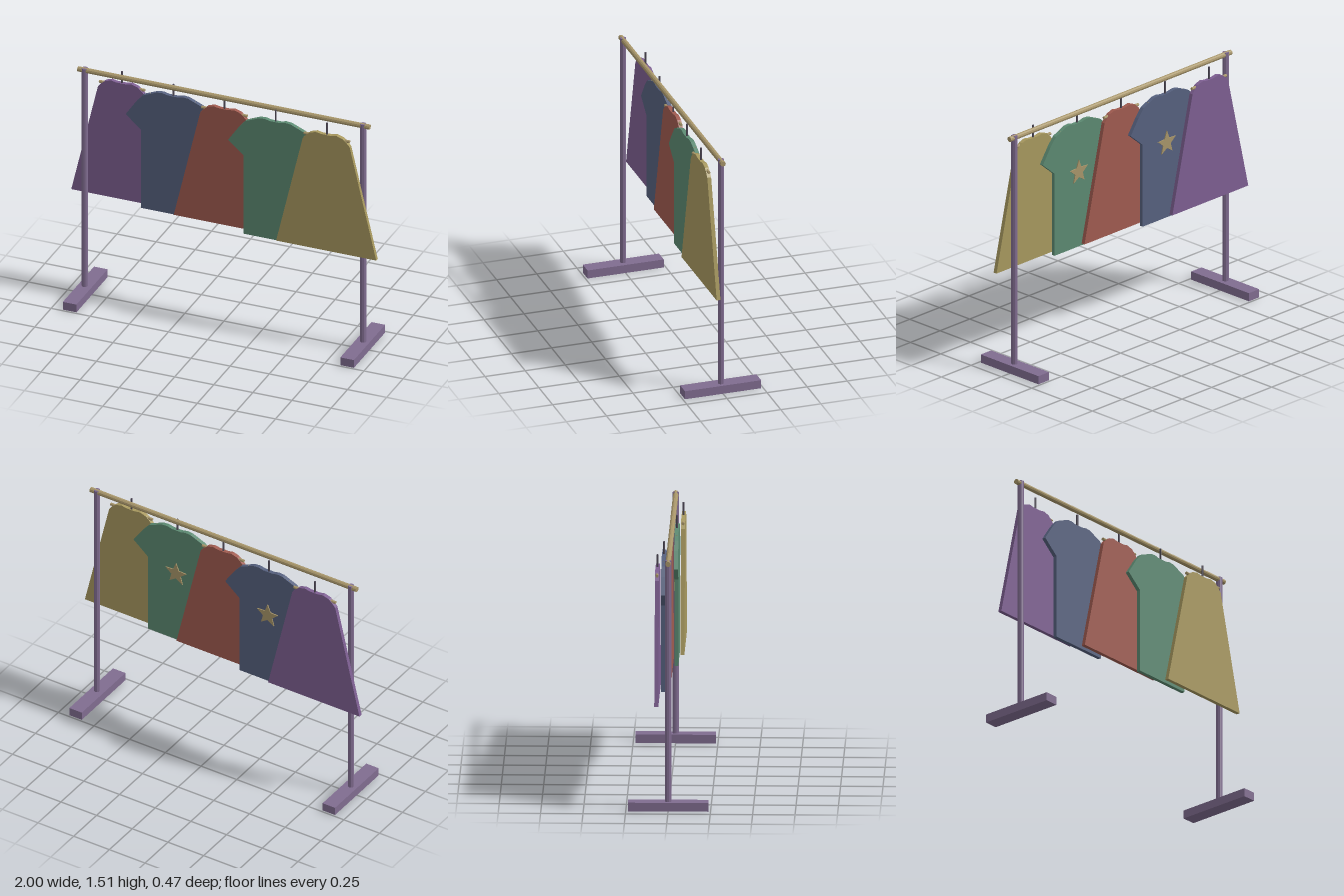
import * as THREE from 'three';

const mat = (color) => new THREE.MeshStandardMaterial({ color, flatShading: true });
const frameMat = mat(0x806c90);
const woodMat = mat(0xa8966a);
const hookMat = mat(0x504a58);

// Right half of each outline, from hem to neck, as [x, y]
const DRESS = [[0.32, 0.647], [0.15, 1.37], [0.128, 1.395], [0.105, 1.415], [0.065, 1.428], [0.03, 1.421]];
const SHIRT = [[0.2, 0.632], [0.2, 1.155], [0.3, 1.24], [0.235, 1.335], [0.19, 1.388], [0.1, 1.426], [0.065, 1.429], [0.03, 1.421]];

function add(parent, name, geometry, material, x = 0, y = 0, z = 0) {
  const mesh = new THREE.Mesh(geometry, material);
  mesh.name = name;
  mesh.position.set(x, y, z);
  parent.add(mesh);
  return mesh;
}

// Flat panel, centred in depth
function panel(points, depth) {
  const shape = new THREE.Shape(points.map(([x, y]) => new THREE.Vector2(x, y)));
  return new THREE.ExtrudeGeometry(shape, { depth, bevelEnabled: false }).translate(0, 0, -depth / 2);
}

const mirrored = (half) => [...half, ...half.map(([x, y]) => [-x, y]).reverse()];

function starPoints(outer, inner) {
  return Array.from({ length: 10 }, (_, i) => {
    const a = Math.PI / 2 + (i * Math.PI) / 5;
    const r = i % 2 ? inner : outer;
    return [r * Math.cos(a), r * Math.sin(a)];
  });
}

function createGarment(name, outline, color, hasStar) {
  const group = new THREE.Group();
  group.name = name;
  add(group, 'cloth', panel(mirrored(outline), 0.024), mat(color));

  // Hanger bar and its straight hook
  const bar = new THREE.CylinderGeometry(0.009, 0.009, 0.292, 8).rotateZ(Math.PI / 2);
  add(group, 'hangerBar', bar, woodMat, 0, 1.4, 0);
  add(group, 'hangerHook', new THREE.CylinderGeometry(0.006, 0.006, 0.09, 8), hookMat, 0, 1.452, 0);

  // Star patch on the back
  if (hasStar) add(group, 'starPatch', panel(starPoints(0.077, 0.033), 0.008), woodMat, 0, 1.11, -0.014);
  return group;
}

export function createModel() {
  const model = new THREE.Group();
  model.name = 'clothesRack';

  // Posts on long feet
  for (const [side, s] of [['left', 1], ['right', -1]]) {
    add(model, side + 'Foot', new THREE.BoxGeometry(0.087, 0.052, 0.475), frameMat, s * 0.887, 0.026, 0);
    add(model, side + 'Post', new THREE.CylinderGeometry(0.019, 0.019, 1.46, 10), frameMat, s * 0.89, 0.779, 0);
  }

  // Hanging rail
  const rail = new THREE.CylinderGeometry(0.016, 0.016, 1.865, 10).rotateZ(Math.PI / 2);
  add(model, 'rail', rail, woodMat, 0, 1.495, 0);

  // Garments, each one a step further forward
  const garments = [
    ['purpleDress', DRESS, 0x7e5f92, false],
    ['blueShirt', SHIRT, 0x56617f, true],
    ['redDress', DRESS, 0xa05b50, false],
    ['greenShirt', SHIRT, 0x5c8a72, true],
    ['yellowDress', DRESS, 0xa8995f, false],
  ];
  garments.forEach(([name, outline, color, hasStar], i) => {
    const garment = createGarment(name, outline, color, hasStar);
    garment.position.set((i - 2) * 0.34, 0, -0.068 + i * 0.03);
    model.add(garment);
  });

  return model;
}
